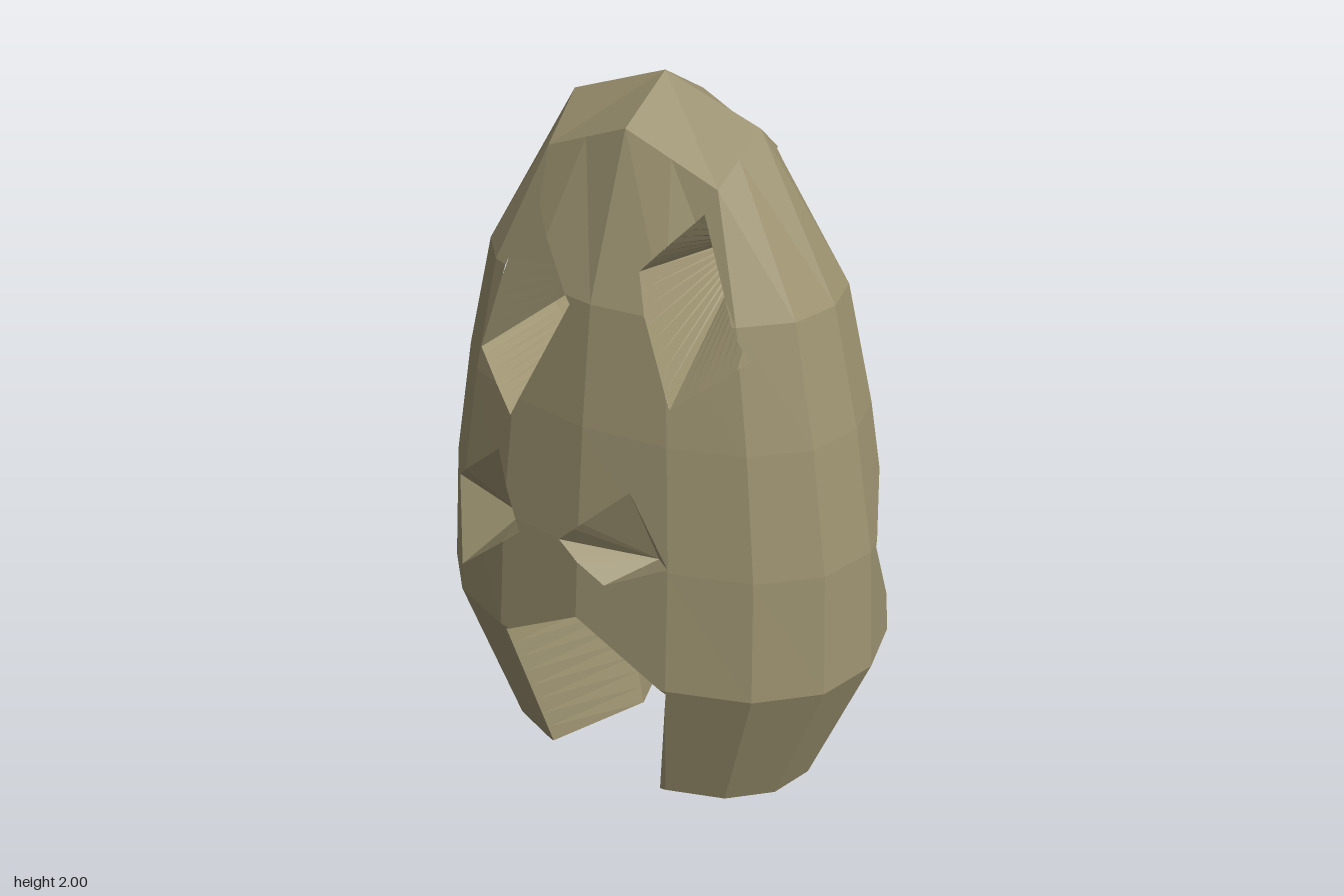
import * as THREE from 'three';

const V = (x, y, z) => new THREE.Vector3(x, y, z);

// Half of the body outline, scaled to unit size; the other half is its half-turn copy
const HALF = [[0.67, -0.065], [0.645, 0.12], [0.52, 0.275], [0.31, 0.38], [0.04, 0.44],
  [-0.25, 0.425], [-0.46, 0.365], [-0.605, 0.24]].map(([x, z]) => [x / 0.67, z / 0.44]);
const OUTLINE = [...HALF, ...HALF.map(([x, z]) => [-x, -z])];
const N = OUTLINE.length;

// Rings below the crown: y, half width, half depth
const RINGS = [[1.48, 0.51, 0.335], [1.15, 0.59, 0.38], [0.8, 0.65, 0.415], [0.44, 0.67, 0.44], [0, 0.49, 0.32]];

// Every hole: projection axis, side, opening corners and the inner ring or pit tip
const tunnels = [
  { name: 'rightTunnel', z: 0,
    front: [[-0.24, 1.67], [-0.04, 1.46], [-0.23, 1.09], [-0.39, 1.22]],
    mid: [[-0.32, 1.47], [-0.18, 1.33], [-0.3, 1.11], [-0.4, 1.24]],
    back: [[-0.28, 1.685], [-0.076, 1.47], [-0.29, 1.09], [-0.44, 1.23]] },
  { name: 'leftTunnel', z: -0.05,
    front: [[0.26, 1.73], [0.43, 1.39], [0.27, 1.25], [0.14, 1.58]],
    mid: [[0.28, 1.63], [0.3, 1.56], [0.21, 1.51], [0.17, 1.56]],
    back: [[0.267, 1.82], [0.35, 1.55], [0.213, 1.51], [0.054, 1.79]] },
  { name: 'legArch', z: 0, open: true,
    front: [[-0.17, 0], [-0.23, 0.43], [0.04, 0.59], [0.31, 0.43], [0.21, 0]],
    mid: [[-0.085, 0], [-0.165, 0.425], [0, 0.47], [0.165, 0.425], [0.085, 0]],
    back: [[-0.21, 0], [-0.31, 0.43], [-0.04, 0.59], [0.23, 0.43], [0.17, 0]] },
];
const pits = [
  { name: 'frontRightPit', axis: 'z', side: 1, tip: V(-0.32, 0.69, 0.25),
    poly: [[-0.28, 0.97], [-0.18, 0.76], [-0.46, 0.52], [-0.54, 0.75]] },
  { name: 'frontLeftPit', axis: 'z', side: 1, tip: V(0.2, 0.76, 0.27),
    poly: [[0.18, 1.0], [0.3, 0.81], [0.12, 0.71], [-0.03, 0.8]] },
  { name: 'backLeftPit', axis: 'z', side: -1, tip: V(0.15, 0.79, -0.25),
    poly: [[0.137, 1.19], [0, 1.01], [0.05, 0.71], [0.244, 0.91]] },
  { name: 'backRightPit', axis: 'z', side: -1, tip: V(-0.24, 0.66, -0.22),
    poly: [[-0.31, 0.95], [-0.45, 0.76], [-0.32, 0.59], [-0.186, 0.76]] },
  { name: 'sidePit', axis: 'x', side: 1, tip: V(0.39, 0.745, -0.15),
    poly: [[-0.22, 0.96], [-0.12, 0.78], [-0.24, 0.55], [-0.375, 0.7]] },
];
const holes = [
  ...tunnels.flatMap(t => [1, -1].map(side => ({
    name: t.name, axis: 'z', side, open: t.open, poly: side > 0 ? t.front : t.back,
    inner: t.mid.map(([x, y]) => V(x, y, t.z)) }))),
  ...pits.map(p => ({ ...p, inner: p.poly.map(() => p.tip) })),
];

const flat = (p, axis) => (axis === 'z' ? [p.x, p.y] : [p.z, p.y]);
const centre = pts => pts.reduce((s, p) => s.add(p), V(0, 0, 0)).divideScalar(pts.length);
const cross = (a, b, p) => (b[0] - a[0]) * (p[1] - a[1]) - (b[1] - a[1]) * (p[0] - a[0]);
const normal = ([a, b, c]) => b.clone().sub(a).cross(c.clone().sub(a));
const onSide = (pts, h) => centre(pts)[h.axis] * h.side > 0;
// Turn a triangle so that it faces along a direction
const face = (tri, dir) => (normal(tri).dot(dir) < 0 ? [tri[0], tri[2], tri[1]] : tri);

// Uncut body: faceted crown cap and stacked rings
function bodyTriangles() {
  const crown = [V(0.28, 1.9, -0.03), V(0.28, 1.79, 0.14), V(0.02, 1.9, 0.18), V(-0.25, 1.79, 0.17)];
  crown.push(...crown.map(p => V(-p.x, p.y, -p.z)));
  const top = [];
  crown.forEach((p, i) => top.push(p, p.clone().lerp(crown[(i + 1) % 8], 0.5)));
  const rings = [top, ...RINGS.map(([y, w, d]) => OUTLINE.map(([x, z]) => V(x * w, y, z * d)))];
  const tris = [];
  const add = (a, b, c) => {
    const m = centre([a, b, c]);
    tris.push(face([a, b, c], m.sub(V(0, 0.9, 0))));
  };
  const apex = V(0, 2, 0);
  for (let k = 0; k < N; k++) {
    const n = (k + 1) % N;
    add(apex, top[k], top[n]);
    for (let r = 0; r + 1 < rings.length; r++) {
      add(rings[r][k], rings[r][n], rings[r + 1][k]);
      add(rings[r][n], rings[r + 1][n], rings[r + 1][k]);
    }
  }
  return { tris, base: rings[rings.length - 1] };
}

// Keep the part of a polygon on one side of a line
function clip(pts, a, b, axis, sign) {
  const out = [];
  pts.forEach((p, i) => {
    const q = pts[(i + 1) % pts.length];
    const d = sign * cross(a, b, flat(p, axis)), e = sign * cross(a, b, flat(q, axis));
    if (d >= 0) out.push(p);
    if (d * e < 0) out.push(p.clone().lerp(q, d / (d - e)));
  });
  return out;
}

// Remove a convex opening from a polygon, giving the pieces left over
function subtract(pts, h) {
  if (!onSide(pts, h)) return [pts];
  let poly = h.poly;
  const area = poly.reduce((s, p, i) => s + cross([0, 0], p, poly[(i + 1) % poly.length]), 0);
  if (area < 0) poly = [...poly].reverse();
  const pieces = [];
  let rest = pts;
  for (let i = 0; i < poly.length && rest.length > 2; i++) {
    const a = poly[i], b = poly[(i + 1) % poly.length];
    const outside = clip(rest, a, b, h.axis, -1);
    if (outside.length > 2) pieces.push(outside);
    rest = clip(rest, a, b, h.axis, 1);
  }
  return rest.length > 2 ? pieces : [pts];
}

// Find the point on the uncut body over a flat position
function project(tris, h, p) {
  let best = null, score = -Infinity;
  for (const t of tris) {
    if (!onSide(t, h)) continue;
    const [a, b, c] = t.map(v => flat(v, h.axis));
    const area = cross(a, b, c);
    if (Math.abs(area) < 1e-7) continue;
    const w = [cross(b, c, p) / area, cross(c, a, p) / area, cross(a, b, p) / area];
    const s = Math.min(...w);
    if (s > score) {
      score = s;
      best = V(0, 0, 0);
      t.forEach((v, i) => best.addScaledVector(v, w[i]));
    }
  }
  return best;
}

// Walls from an opening's rim in to its inner ring or tip
function wallTriangles(tris, h) {
  const out = [], steps = 8, n = h.poly.length;
  const middle = centre([...h.poly.map(p => project(tris, h, p)), ...h.inner]);
  for (let i = 0; i < (h.open ? n - 1 : n); i++) {
    const j = (i + 1) % n;
    const at = t => [
      project(tris, h, [0, 1].map(k => h.poly[i][k] * (1 - t) + h.poly[j][k] * t)),
      h.inner[i].clone().lerp(h.inner[j], t)];
    for (let s = 0; s < steps; s++) {
      const [a, b] = at(s / steps), [c, d] = at((s + 1) / steps);
      for (const t of [[a, c, b], [c, d, b]]) {
        if (normal(t).length() > 1e-8) out.push(face(t, middle.clone().sub(centre(t))));
      }
    }
  }
  return out;
}

export function createModel() {
  const group = new THREE.Group();
  const stone = new THREE.MeshStandardMaterial({ color: 0x9c9270, flatShading: true });
  stone.name = 'khakiStone';
  const addMesh = (name, tris) => {
    const geometry = new THREE.BufferGeometry().setFromPoints(tris.flat());
    geometry.computeVertexNormals();
    const mesh = new THREE.Mesh(geometry, stone);
    mesh.name = name;
    group.add(mesh);
  };

  // Outer shell with all openings cut out
  const { tris, base } = bodyTriangles();
  let polys = tris;
  for (const h of holes) polys = polys.flatMap(p => subtract(p, h));
  const shell = polys.flatMap(p => p.slice(2).map((q, i) => [p[0], p[i + 1], q]))
    .filter(t => normal(t).length() > 1e-9);
  addMesh('body', shell);

  // Tunnel, arch and pit walls
  for (const h of holes) addMesh(h.name, wallTriangles(tris, h));

  // Foot soles: outer outline closed by the arch corners
  const arch = holes.filter(h => h.open);
  for (const side of [1, -1]) {
    const end = side > 0 ? 4 : 0;
    const corners = arch.map(h => project(tris, h, h.poly[end]));
    const sole = base.filter(p => p.x * side > 0.21);
    sole.push(...corners, arch[0].inner[end]);
    const mid = V(0.28 * side, 0, 0);
    const angle = p => Math.atan2(p.z, p.x - mid.x);
    sole.sort((a, b) => angle(a) - angle(b));
    addMesh(side > 0 ? 'leftSole' : 'rightSole',
      sole.map((p, i) => face([mid, p, sole[(i + 1) % sole.length]], V(0, -1, 0))));
  }
  return group;
}
